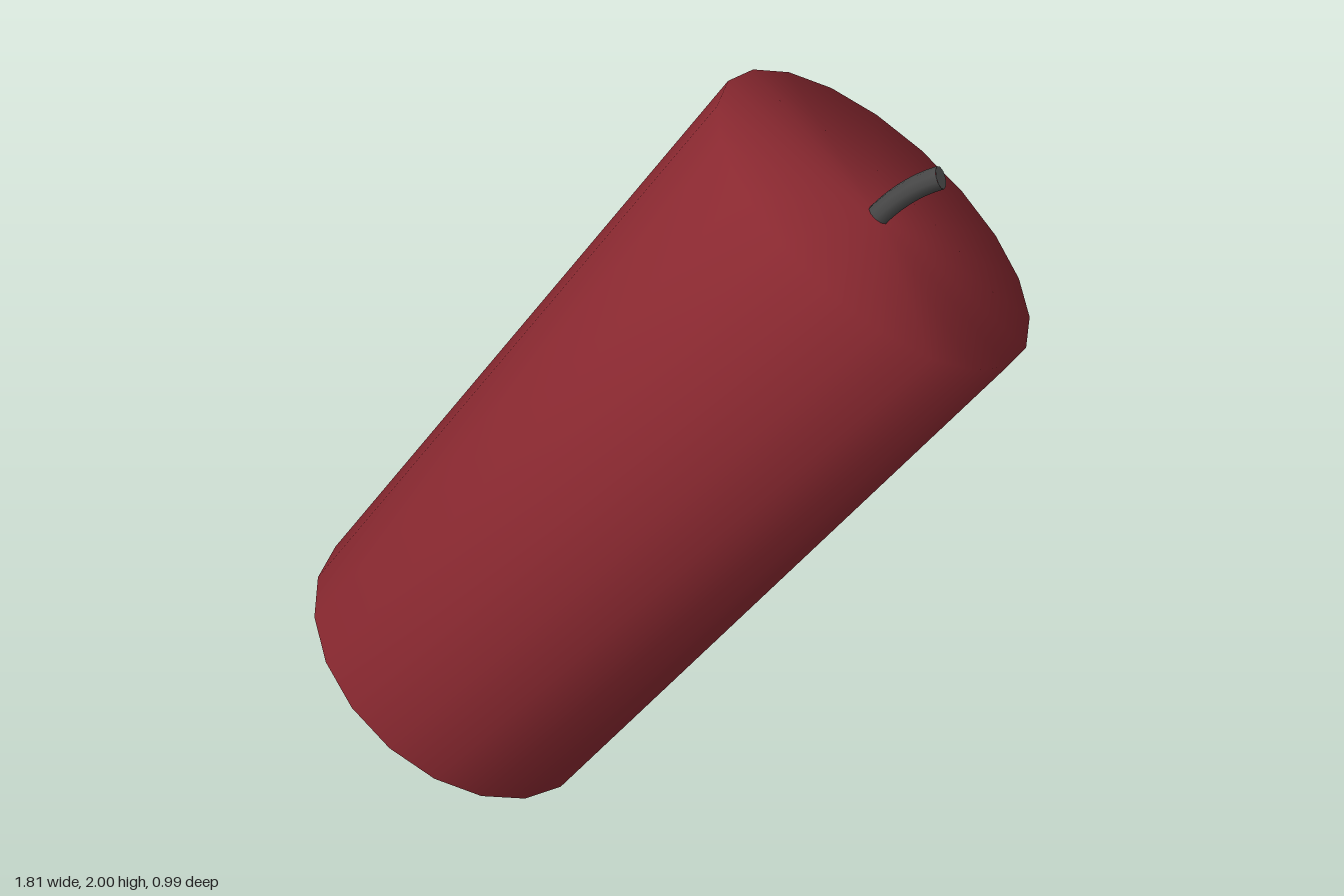
import * as THREE from 'three';
import { mergeVertices } from 'three/addons/utils/BufferGeometryUtils.js';

// Weld all corners so the shading runs smoothly over the rims onto the flat ends
function welded(geometry) {
  geometry.deleteAttribute('uv');
  geometry.deleteAttribute('normal');
  const g = mergeVertices(geometry, 1e-4);
  g.computeVertexNormals();
  return g;
}

export function createModel() {
  const model = new THREE.Group();
  model.name = 'firecracker';
  const red = new THREE.MeshStandardMaterial({ color: 0x8e2a32 });
  const grey = new THREE.MeshStandardMaterial({ color: 0x484848 });

  // Leaning cylindrical body with flat ends
  const top = new THREE.Vector3(0.54, 1.728, -0.04);
  const centre = new THREE.Vector3(0, 1, 0);
  const axis = top.clone().sub(centre);
  const length = axis.length() * 2;
  axis.normalize();

  const body = new THREE.Mesh(welded(new THREE.CylinderGeometry(0.457, 0.457, length, 20)), red);
  body.name = 'body';
  body.position.copy(centre);
  body.quaternion.setFromUnitVectors(new THREE.Vector3(0, 1, 0), axis);
  model.add(body);

  // Bent fuse rising from the middle of the top end
  const path = new THREE.QuadraticBezierCurve3(
    top.clone().addScaledVector(axis, -0.02),
    top.clone().addScaledVector(axis, 0.09),
    new THREE.Vector3(0.678, 1.84, -0.04)
  );
  const fuse = new THREE.Group();
  fuse.name = 'fuse';
  const cord = new THREE.Mesh(new THREE.TubeGeometry(path, 8, 0.027, 10), grey);
  cord.name = 'fuseCord';
  const tip = new THREE.Mesh(new THREE.CircleGeometry(0.027, 10), grey);
  tip.name = 'fuseTip';
  tip.position.copy(path.getPoint(1));
  tip.quaternion.setFromUnitVectors(new THREE.Vector3(0, 0, 1), path.getTangent(1));
  fuse.add(cord, tip);
  model.add(fuse);

  return model;
}
